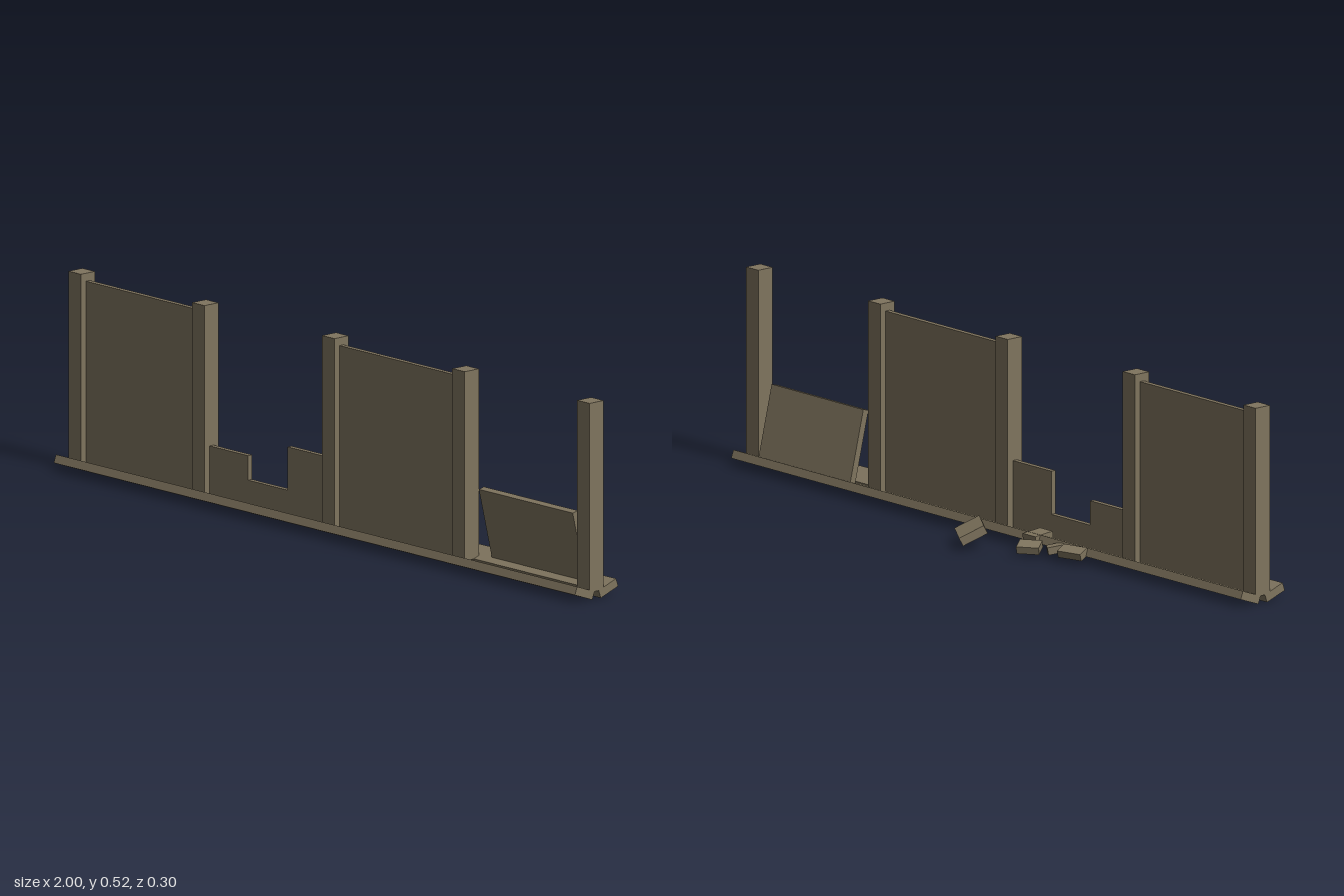
import * as THREE from 'three';

export function createModel() {
  const group = new THREE.Group();
  const stone = new THREE.MeshStandardMaterial({ color: 0x7f745e });
  stone.name = 'weathered brown';
  const rad = THREE.MathUtils.degToRad;
  const WALL_Z = 0.075;

  // Box given by centre and size, turned by yaw and then tilted (degrees)
  function block(name, [x, y, z], [w, h, d], yaw = 0, tilt = 0) {
    const mesh = new THREE.Mesh(new THREE.BoxGeometry(w, h, d), stone);
    mesh.name = name;
    mesh.position.set(x, y, z);
    mesh.rotation.set(rad(tilt), rad(yaw), 0, 'YXZ');
    group.add(mesh);
  }

  // Two sloping base boards that form a shallow V around the wall foot
  for (const s of [1, -1]) {
    block(s > 0 ? 'frontBaseBoard' : 'backBaseBoard',
      [0, 0.0217, WALL_Z + s * 0.0415], [2, 0.0225, 0.0645], 0, -s * 20);
  }

  // Posts
  const bottom = 0.021, postTop = 0.523;
  for (const x of [-0.976, -0.502, -0.003, 0.497, 0.976]) {
    block('post', [x, (bottom + postTop) / 2, WALL_Z], [0.048, postTop - bottom, 0.049]);
  }

  // Standing panels: left edge, right edge, top
  const panels = [
    ['wholePanel', -0.96, -0.52, 0.502],
    ['brokenPanel', -0.485, -0.33, 0.148],
    ['brokenPanel', -0.33, -0.178, 0.083],
    ['brokenPanel', -0.178, -0.02, 0.198],
    ['wholePanel', 0.01, 0.485, 0.502],
  ];
  for (const [name, x0, x1, top] of panels) {
    block(name, [(x0 + x1) / 2, (bottom + top) / 2, WALL_Z], [x1 - x0, top - bottom, 0.014]);
  }

  // Loose panel leaning forward in its bay
  block('leaningPanel', [0.745, 0.122, 0.058], [0.36, 0.2, 0.018], 0, 13.5);

  // Fallen rubble behind the wall
  block('rubbleSlab', [-0.04, 0.039, -0.0865], [0.111, 0.0235, 0.072], -35, -26.6);
  block('rubble', [-0.18, 0.034, 0.02], [0.05, 0.02, 0.06], 0, -5);
  block('rubble', [-0.225, 0.024, -0.048], [0.06, 0.02, 0.042], 35, -15);
  block('rubble', [-0.285, 0.025, -0.01], [0.03, 0.02, 0.045], -35, -10);
  block('rubble', [-0.36, 0.03, -0.018], [0.072, 0.02, 0.035], 15, -20);

  return group;
}
